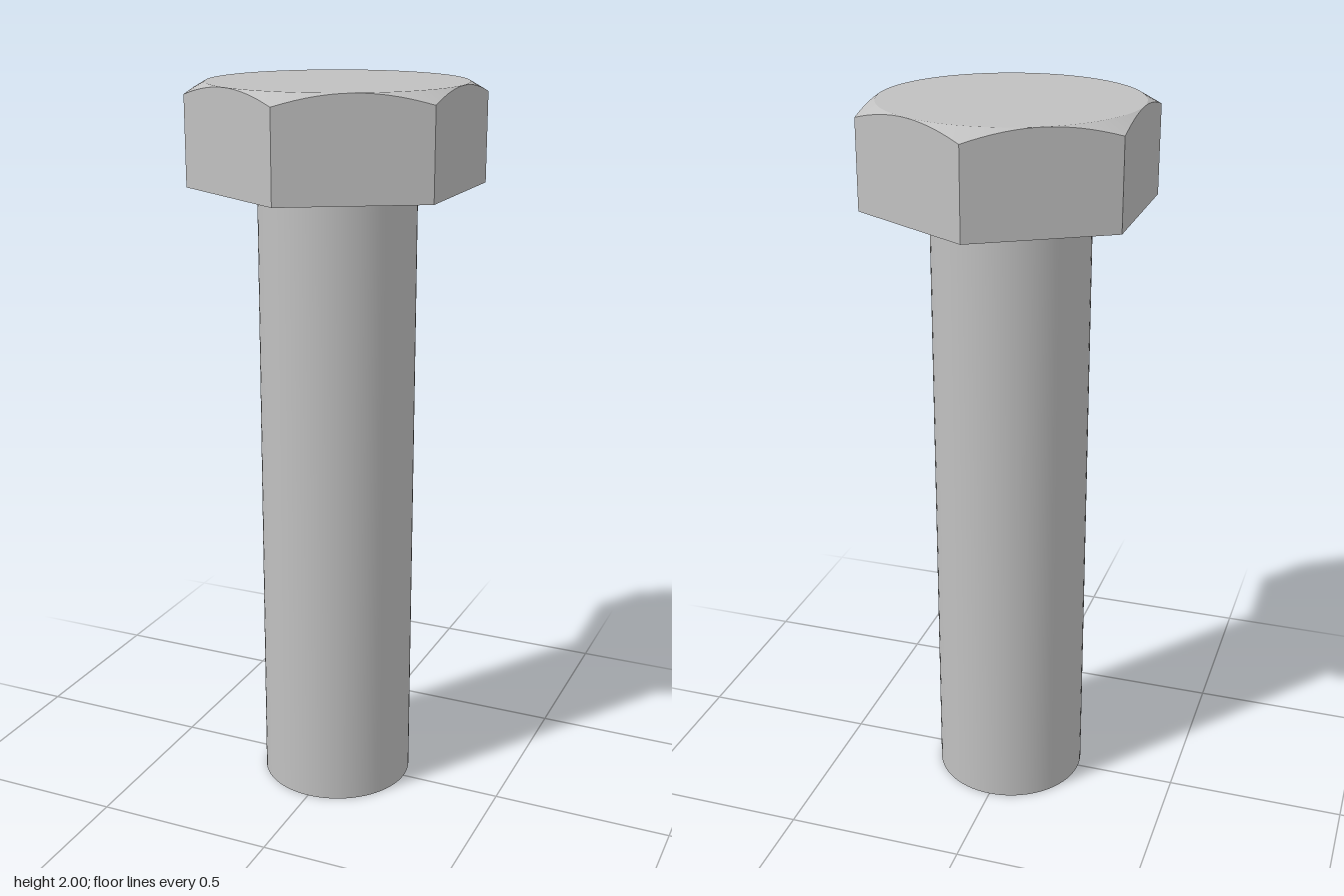
import * as THREE from 'three';
import { toCreasedNormals } from 'three/addons/utils/BufferGeometryUtils.js';

const TOP = 2, HEAD_BOTTOM = 1.73, SHANK_RADIUS = 0.213;
const APOTHEM = 0.345, RIM = 0.344; // half width across flats, radius of the flat top
const STEPS = 96; // samples round the head, a multiple of six

// Distance from the axis to the hexagon, with corners on the z axis
function hexRadius(a) {
  return APOTHEM / Math.cos((a % (Math.PI / 3)) - Math.PI / 6);
}

// Hexagonal prism whose top corners are cut by a 30 degree cone
function headGeometry() {
  const chamferY = r => TOP - (r - RIM) * Math.tan(Math.PI / 6);
  const rings = [
    () => [0, HEAD_BOTTOM],
    a => [hexRadius(a), HEAD_BOTTOM],
    a => [hexRadius(a), chamferY(hexRadius(a))],
    () => [RIM, TOP],
    () => [0, TOP],
  ];
  const point = (ring, i) => {
    const a = ((i % STEPS) / STEPS) * Math.PI * 2;
    const [r, y] = rings[ring](a);
    return [r * Math.sin(a), y, r * Math.cos(a)];
  };
  const positions = [];
  for (let k = 0; k < rings.length - 1; k++) {
    for (let i = 0; i < STEPS; i++) {
      const a = point(k, i), b = point(k, i + 1);
      const c = point(k + 1, i + 1), d = point(k + 1, i);
      if (k > 0) positions.push(...a, ...b, ...(k === 3 ? c : d));
      if (k < 3) positions.push(...b, ...c, ...d);
    }
  }
  const geometry = new THREE.BufferGeometry();
  geometry.setAttribute('position', new THREE.Float32BufferAttribute(positions, 3));
  return toCreasedNormals(geometry, 0.3);
}

export function createModel() {
  const steel = new THREE.MeshStandardMaterial({ color: 0xc0c0c0 });
  steel.name = 'steel grey';

  const group = new THREE.Group();
  group.name = 'hexBolt';

  const head = new THREE.Mesh(headGeometry(), steel);
  head.name = 'hexHead';

  // Plain round shank
  const shank = new THREE.Mesh(
    new THREE.CylinderGeometry(SHANK_RADIUS, SHANK_RADIUS, HEAD_BOTTOM, 72), steel);
  shank.name = 'shank';
  shank.position.y = HEAD_BOTTOM / 2;

  group.add(head, shank);
  return group;
}
